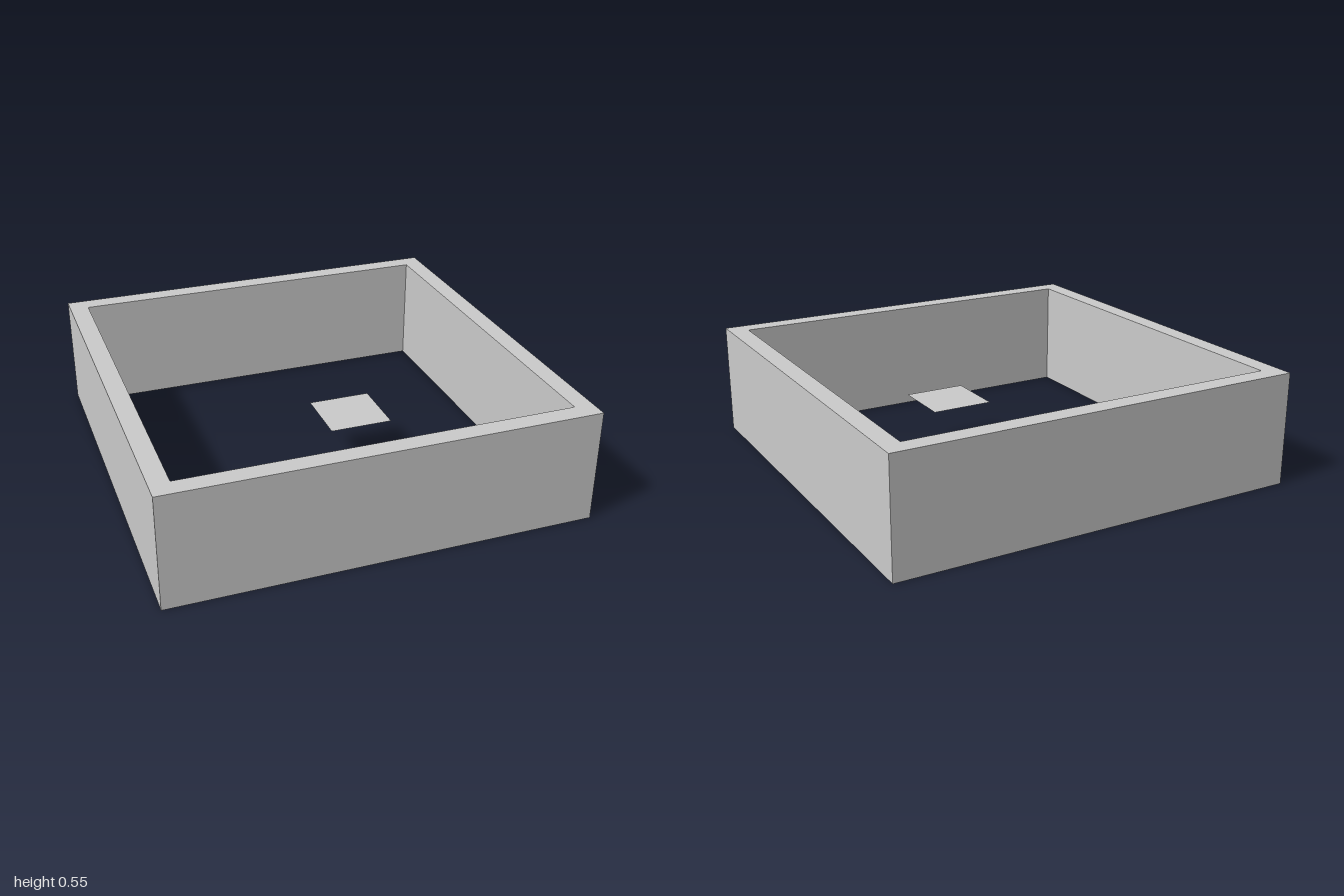
import * as THREE from 'three';

const HEIGHT = 0.545;
const INNER = 0.909; // half width of the opening
const PANEL = 0.303;

// Points of a square centred on the origin
function square(half) {
  return [[-half, -half], [half, -half], [half, half], [-half, half]]
    .map(([x, y]) => new THREE.Vector2(x, y));
}

export function createModel() {
  const group = new THREE.Group();
  const material = new THREE.MeshStandardMaterial({ color: 0xcccccc });

  // Square wall frame, open at top and bottom
  const outline = new THREE.Shape(square(1));
  outline.holes.push(new THREE.Path(square(INNER).reverse()));
  const wallGeometry = new THREE.ExtrudeGeometry(outline, { depth: HEIGHT, bevelEnabled: false });
  wallGeometry.rotateX(-Math.PI / 2);
  const walls = new THREE.Mesh(wallGeometry, material);
  walls.name = 'wallFrame';
  group.add(walls);

  // Thin panel floating at mid height, one corner on the central axis
  const panelMaterial = material.clone();
  panelMaterial.side = THREE.DoubleSide;
  const panel = new THREE.Mesh(new THREE.PlaneGeometry(PANEL, PANEL).rotateX(-Math.PI / 2), panelMaterial);
  panel.position.set(PANEL / 2, HEIGHT / 2, PANEL / 2);
  panel.name = 'floatingPanel';
  group.add(panel);

  return group;
}
